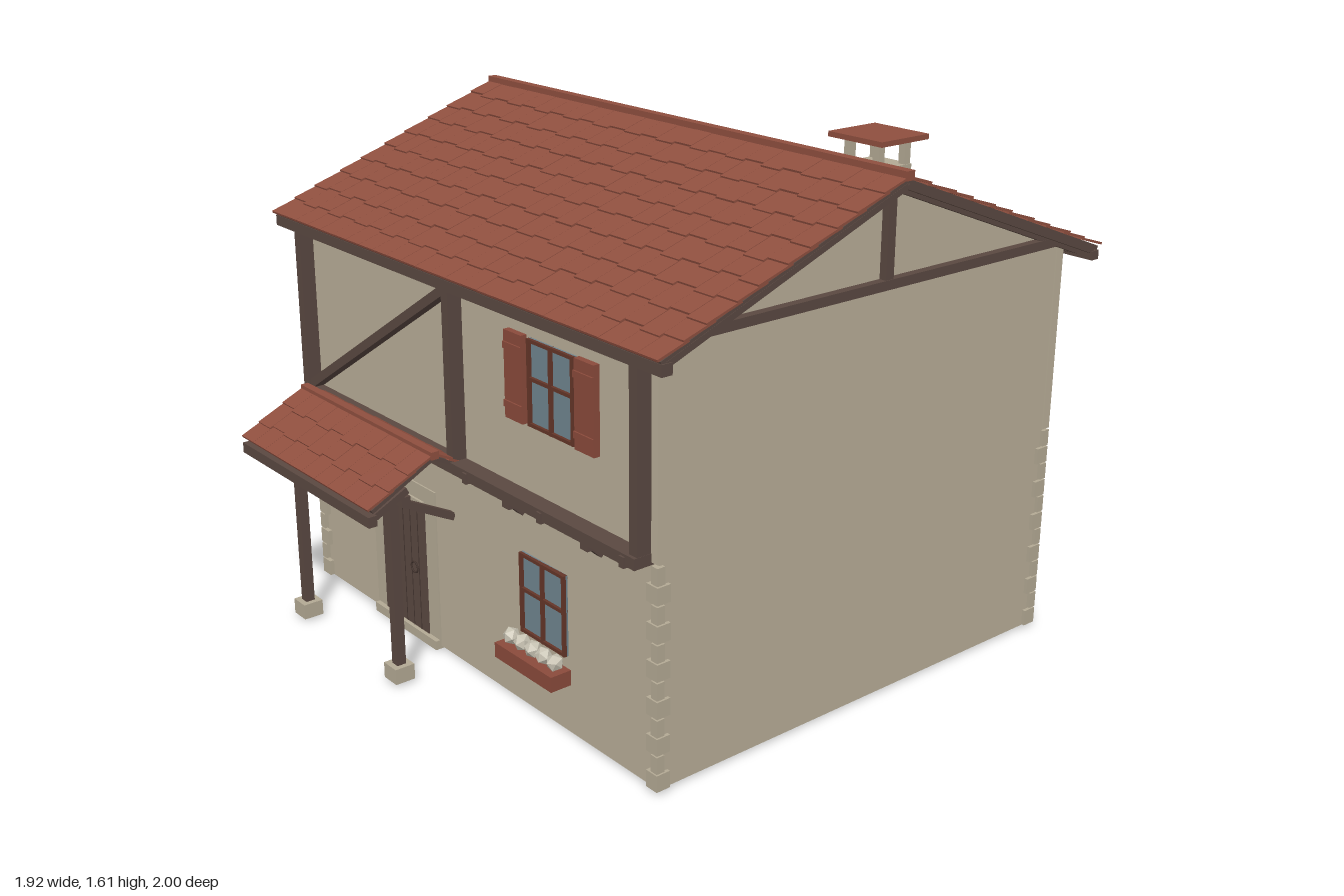
import * as THREE from 'three';
import { mergeGeometries } from 'three/addons/utils/BufferGeometryUtils.js';

const material = (name, color) => new THREE.MeshStandardMaterial({ name, color });

export function createModel() {
  const plaster = material('plaster', 0xb8ad97);
  const stone = material('stone', 0xb3a994);
  const tile = material('roof tile', 0x8f4f3f);
  const wood = material('dark timber', 0x5a4841);
  const groove = material('door groove', 0x44352f);
  const frameRed = material('window frame', 0x643528);
  const shutterRed = material('shutter red', 0x8a4a3b);
  const glass = material('glass', 0x6f858f);
  const flower = material('flowers', 0xc9c4b4);

  const house = new THREE.Group();
  house.name = 'house';

  const add = (name, geo, mat, x = 0, y = 0, z = 0, parent = house) => {
    const m = new THREE.Mesh(geo, mat);
    m.name = name;
    m.position.set(x, y, z);
    parent.add(m);
    return m;
  };
  // box given by its limits on each axis
  const box = (name, mat, x0, x1, y0, y1, z0, z1, parent) =>
    add(name, new THREE.BoxGeometry(x1 - x0, y1 - y0, z1 - z0), mat,
      (x0 + x1) / 2, (y0 + y1) / 2, (z0 + z1) / 2, parent);
  // square timber between two points
  const beam = (name, a, b, w = 0.03, d = w) => {
    const A = new THREE.Vector3(...a), B = new THREE.Vector3(...b);
    const dir = B.clone().sub(A), mid = A.clone().add(B).multiplyScalar(0.5);
    const m = add(name, new THREE.BoxGeometry(w, dir.length(), d), wood, mid.x, mid.y, mid.z);
    m.quaternion.setFromUnitVectors(new THREE.Vector3(0, 1, 0), dir.normalize());
    return m;
  };

  // --- walls
  const RZ = -0.14, RY = 1.59, SLOPE = 0.384;
  const roofY = (z) => RY - SLOPE * Math.abs(z - RZ);
  box('groundFloorWall', plaster, -0.877, 0.877, 0.01, 0.68, -0.905, 0.645);
  box('plinth', stone, -0.83, 0.83, 0, 0.012, -0.86, 0.6);
  const gable = new THREE.Shape([[0.655, 0.68], [0.655, roofY(0.655) - 0.03], [RZ, RY - 0.03],
    [-0.912, roofY(-0.912) - 0.03], [-0.912, 0.68]].map((p) => new THREE.Vector2(...p)));
  const upper = new THREE.ExtrudeGeometry(gable, { depth: 1.764, bevelEnabled: false });
  upper.rotateY(-Math.PI / 2).translate(0.882, 0, 0);
  add('upperWall', upper, plaster);

  // --- corner stones, alternating long and short
  for (const s of [-1, 1]) for (const [z, inward] of [[0.66, -1], [-0.917, 1]])
    for (let i = 0; i < 12; i++) {
      const len = i % 2 ? 0.026 : 0.046, y = 0.012 + i * 0.0555;
      const xs = [s * 0.888, s * (0.888 - len)].sort((a, b) => a - b);
      const zs = [z, z + inward * len].sort((a, b) => a - b);
      box('cornerStone', stone, xs[0], xs[1], y, y + 0.051, zs[0], zs[1]);
    }
  for (const s of [-1, 1])
    box('rearCornerStrip', plaster, s * 0.872 - 0.015, s * 0.872 + 0.015, 0.68, 1.265, -0.917, -0.888);

  // --- tiled roof slopes: local +z runs down from the ridge
  let seed = 7;
  const rand = () => (seed = (seed * 16807) % 2147483647) / 2147483647;
  const slope = (name, x0, x1, y, z, dy, dz, rows, cols) => {
    const g = new THREE.Group(), len = Math.hypot(dy, dz), row = len / rows, w = (x1 - x0) / cols;
    g.name = name;
    g.position.set((x0 + x1) / 2, y, z);
    g.rotation.order = 'YXZ';
    g.rotation.set(Math.atan2(dy, Math.abs(dz)), dz < 0 ? Math.PI : 0, 0);
    const half = (x1 - x0) / 2;
    box('roofBoards', wood, -half + 0.004, half - 0.004, -0.014, -0.002, 0, len - 0.01, g);
    const parts = [];
    for (let r = 0; r < rows; r++) for (let c = 0; c < cols; c++) {
      const drop = r === rows - 1 ? 0 : ((r + c) % 2 ? 0.012 : 0) + rand() * 0.006;
      const l = row * 1.15 + drop;
      const t = new THREE.BoxGeometry(w * 0.985, 0.007, l);
      t.rotateX(-0.06);
      t.translate(-half + (c + 0.5) * w, 0.004 + rand() * 0.001, (r + 1) * row + drop - l / 2);
      parts.push(t);
    }
    add('tiles', mergeGeometries(parts), tile, 0, 0, 0, g);
    house.add(g);
  };
  slope('frontRoof', -0.96, 0.96, RY, RZ, 0.33, 0.86, 10, 25);
  slope('backRoof', -0.96, 0.96, RY, RZ, 0.33, -0.86, 10, 25);
  box('ridgeCap', tile, -0.962, 0.962, 1.583, 1.61, -0.156, -0.126);

  // --- eaves and gable timbers
  box('frontEaveBeam', wood, -0.96, 0.96, 1.222, 1.255, 0.675, 0.71);
  box('backEaveBeam', wood, -0.96, 0.96, 1.222, 1.25, -0.99, -0.96);
  for (let i = 0; i < 11; i++) {
    const x = -0.87 + i * 0.174;
    beam('frontRafterTail', [x, 1.272, 0.6], [x, 1.232, 0.705], 0.022);
    beam('backRafterTail', [x, 1.272, -0.88], [x, 1.236, -0.975], 0.022);
  }
  for (const s of [-1, 1]) {
    const x = s * 0.89;
    box('gableTie', wood, x - 0.018, x + 0.018, 1.272, 1.3, -0.895, 0.615);
    box('kingPost', wood, x - 0.016, x + 0.016, 1.29, 1.56, RZ - 0.015, RZ + 0.015);
    for (const z of [0.69, -0.97]) {
      beam('gableRafter', [x, roofY(z) - 0.028, z], [x, RY - 0.028, RZ], 0.034, 0.028);
      beam('bargeBoard', [s * 0.948, roofY(z) - 0.022, z], [s * 0.948, RY - 0.022, RZ], 0.018, 0.018);
    }
  }

  // --- chimney
  box('chimneyStack', stone, 0.455, 0.6, 1.36, 1.512, -0.545, -0.405);
  for (const x of [0.47, 0.585]) for (const z of [-0.53, -0.42])
    box('chimneyPost', stone, x - 0.012, x + 0.012, 1.51, 1.588, z - 0.012, z + 0.012);
  box('chimneyCap', tile, 0.42, 0.635, 1.586, 1.602, -0.575, -0.378);

  // --- timber frame on the upper front
  for (const x of [-0.845, -0.004, 0.84])
    box('framePost', wood, x - 0.016, x + 0.016, 0.68, 1.235, 0.65, 0.702);
  box('frameSill', wood, -0.862, 0.857, 0.672, 0.705, 0.645, 0.712);
  beam('frameBrace', [-0.835, 0.71, 0.675], [-0.015, 1.222, 0.675], 0.028, 0.04);
  for (const x of [-0.82, 0.27, 0.63]) {
    box('joistEnd', wood, x - 0.016, x + 0.016, 0.645, 0.69, 0.64, 0.7);
    beam('joistBracket', [x, 0.622, 0.645], [x, 0.665, 0.69], 0.03, 0.02);
  }
  for (const x of [-0.6, -0.3, 0.09, 0.45, 0.81])
    box('sillPeg', wood, x - 0.01, x + 0.01, 0.666, 0.698, 0.7, 0.718);

  // --- windows
  const windowAt = (name, x0, x1, y0, y1, z) => {
    const g = new THREE.Group(), xm = (x0 + x1) / 2, ym = y0 + (y1 - y0) * 0.55, t = 0.01;
    g.name = name;
    house.add(g);
    box('pane', glass, x0, x1, y0, y1, z, z + 0.006, g);
    for (const x of [x0 + t / 2, xm, x1 - t / 2])
      box('upright', frameRed, x - t / 2, x + t / 2, y0, y1, z, z + 0.016, g);
    for (const y of [y0 + t / 2, ym, y1 - t / 2])
      box('crossbar', frameRed, x0, x1, y - t / 2, y + t / 2, z, z + 0.015, g);
  };
  windowAt('upperWindow', 0.345, 0.55, 0.908, 1.16, 0.655);
  windowAt('lowerWindow', 0.272, 0.482, 0.25, 0.5, 0.645);
  for (const [x0, x1] of [[0.245, 0.327], [0.562, 0.646]]) {
    box('shutter', shutterRed, x0, x1, 0.907, 1.163, 0.655, 0.675);
    for (const y of [0.95, 1.12]) box('shutterBatten', shutterRed, x0, x1, y - 0.01, y + 0.01, 0.675, 0.68);
  }

  // --- flower box
  box('flowerBox', shutterRed, 0.24, 0.512, 0.176, 0.223, 0.66, 0.73);
  for (const x of [0.28, 0.47])
    beam('flowerBoxBracket', [x, 0.165, 0.645], [x, 0.176, 0.7], 0.014);
  for (let i = 0; i < 5; i++) {
    const f = add('flower', new THREE.IcosahedronGeometry(0.027, 0), flower, 0.272 + i * 0.052, 0.245, 0.692);
    f.rotation.set(i, i * 2, 0);
  }

  // --- door with stone surround and step
  box('doorStep', stone, -0.54, -0.182, 0, 0.03, 0.6, 0.665);
  box('doorSurround', stone, -0.545, -0.18, 0.48, 0.53, 0.64, 0.65);
  for (const [x0, x1] of [[-0.545, -0.49], [-0.24, -0.18]])
    box('doorJamb', stone, x0, x1, 0.03, 0.48, 0.64, 0.649);
  box('doorLintel', stone, -0.49, -0.24, 0.46, 0.48, 0.64, 0.658);
  box('door', wood, -0.49, -0.24, 0.03, 0.46, 0.64, 0.652);
  for (let i = 1; i < 6; i++) {
    const x = -0.49 + i * 0.0417;
    box('doorGroove', groove, x - 0.0015, x + 0.0015, 0.03, 0.46, 0.652, 0.653);
  }
  add('doorRing', new THREE.TorusGeometry(0.018, 0.003, 6, 18), groove, -0.303, 0.24, 0.656);

  // --- porch
  slope('porchFrontRoof', -0.74, 0.015, 0.742, 0.765, 0.118, 0.225, 3, 10);
  slope('porchBackRoof', -0.74, 0.015, 0.742, 0.765, 0.06, -0.11, 2, 10);
  box('porchRidge', tile, -0.742, 0.017, 0.73, 0.754, 0.752, 0.778);
  box('porchFascia', wood, -0.74, 0.015, 0.577, 0.61, 0.965, 0.993);
  box('porchLintel', wood, -0.72, -0.005, 0.6, 0.63, 0.84, 0.87);
  for (const x of [-0.72, -0.365, -0.005])
    beam('porchRafter', [x, 0.592, 0.98], [x, 0.655, 0.855], 0.022);
  for (const [x, s] of [[-0.642, 1], [-0.09, -1]]) {
    box('porchPost', wood, x - 0.015, x + 0.015, 0.05, 0.61, 0.84, 0.87);
    box('postBase', stone, x - 0.033, x + 0.033, 0.01, 0.06, 0.822, 0.888);
    beam('porchTie', [x, 0.595, 0.86], [x, 0.485, 0.645], 0.024);
    beam('porchBracket', [x, 0.515, 0.855], [x + s * 0.085, 0.605, 0.855], 0.02);
  }
  return house;
}
